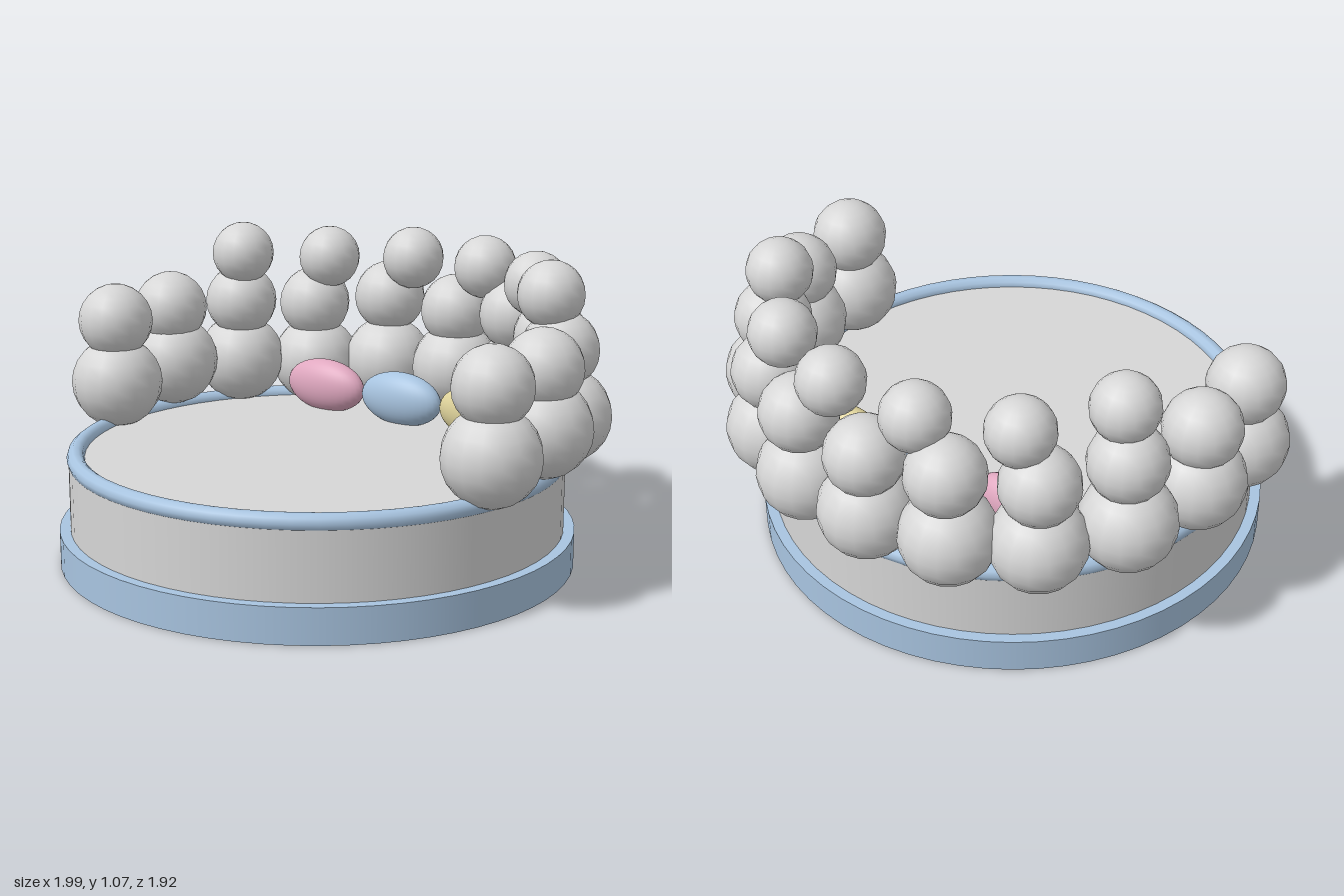
import * as THREE from 'three';

const mat = (name, color) => {
  const m = new THREE.MeshStandardMaterial({ color });
  m.name = name;
  return m;
};

export function createModel() {
  const white = mat('softWhite', 0xd6d6d6);
  const blue = mat('paleBlue', 0xa8c4e0);
  const pink = mat('palePink', 0xe0a8c0);
  const yellow = mat('paleYellow', 0xe0d49c);

  const model = new THREE.Group();
  model.name = 'cloudBed';
  const add = (parent, name, geometry, material, x, y, z) => {
    const mesh = new THREE.Mesh(geometry, material);
    mesh.name = name;
    mesh.position.set(x, y, z);
    parent.add(mesh);
    return mesh;
  };

  // Round bed: plinth, mattress and piping, slightly forward of centre
  const bedZ = 0.055;
  add(model, 'plinth', new THREE.CylinderGeometry(0.905, 0.905, 0.125, 64), blue, 0, 0.0625, bedZ);
  add(model, 'mattress', new THREE.CylinderGeometry(0.867, 0.867, 0.26, 64), white, 0, 0.25, bedZ);
  const piping = add(model, 'piping', new THREE.TorusGeometry(0.842, 0.031, 10, 64), blue, 0, 0.38, bedZ);
  piping.rotation.x = Math.PI / 2;

  // Cloud headboard: three tiers of puffs [x, y, z]; entries with x > 0 are mirrored
  const tiers = [
    ['lowerPuff', 0.167, [[0.83, 0.53, 0.205], [0.83, 0.56, -0.1], [0.735, 0.535, -0.38],
      [0.54, 0.515, -0.605], [0.29, 0.525, -0.745], [0, 0.53, -0.79]]],
    ['middlePuff', 0.136, [[0.83, 0.76, 0.205], [0.83, 0.765, -0.09], [0.72, 0.765, -0.37],
      [0.54, 0.745, -0.6], [0.29, 0.775, -0.755], [0, 0.75, -0.79]]],
    ['upperPuff', 0.117, [[0.69, 0.955, -0.35], [0.47, 0.93, -0.605], [0.165, 0.94, -0.735]]],
  ];
  const headboard = new THREE.Group();
  headboard.name = 'cloudHeadboard';
  model.add(headboard);
  for (const [name, radius, puffs] of tiers) {
    const ball = new THREE.SphereGeometry(radius, 16, 12);
    for (const [x, y, z] of puffs) {
      for (const side of x > 0 ? [1, -1] : [1]) add(headboard, name, ball, white, side * x, y, z);
    }
  }

  // Three oval cushions in a row
  const oval = new THREE.SphereGeometry(1, 32, 20).scale(0.175, 0.1, 0.07);
  [['pinkCushion', pink], ['blueCushion', blue], ['yellowCushion', yellow]].forEach(([name, m], i) =>
    add(model, name, oval, m, (i - 1) * 0.355, 0.467, -0.44));

  return model;
}
